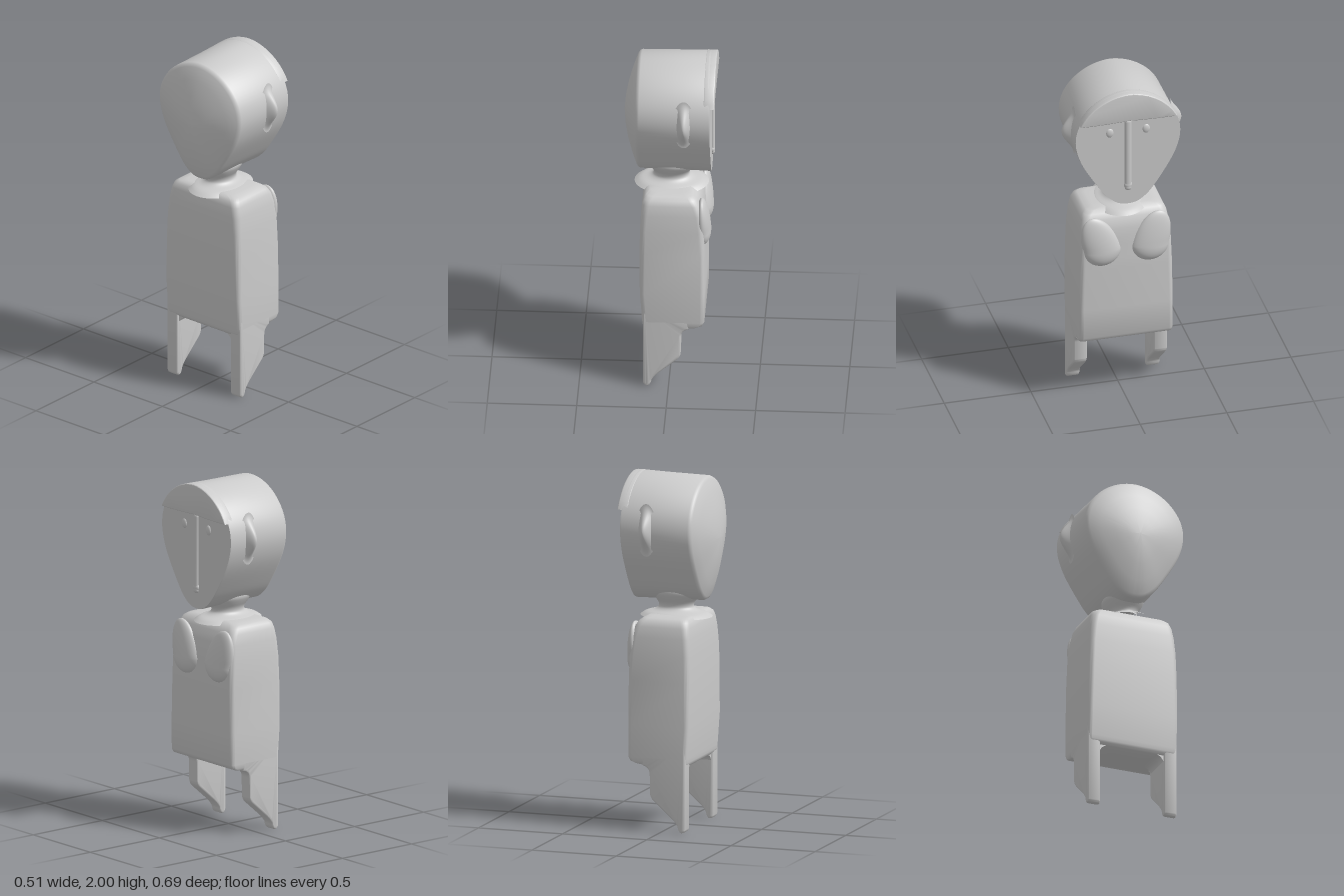
import * as THREE from 'three';
import { toCreasedNormals } from 'three/addons/utils/BufferGeometryUtils.js';

const material = new THREE.MeshStandardMaterial({ color: 0xcccccc });

// Closed skin over rings, each ring counter-clockwise about the loft direction.
function loft(rings, crease = 0.6) {
  const n = rings[0].length, pos = [], index = [];
  for (const ring of rings) for (const p of ring) pos.push(p.x, p.y, p.z);
  for (let i = 0; i < rings.length - 1; i++) {
    for (let j = 0; j < n; j++) {
      const a = i * n + j, b = i * n + (j + 1) % n;
      index.push(a, b, b + n, a, b + n, a + n);
    }
  }
  [0, rings.length - 1].forEach((r, end) => {
    const c = new THREE.Vector3();
    rings[r].forEach(p => c.addScaledVector(p, 1 / n));
    const k = pos.length / 3;
    pos.push(c.x, c.y, c.z);
    for (let j = 0; j < n; j++) {
      const a = r * n + j, b = r * n + (j + 1) % n;
      if (end) index.push(k, a, b); else index.push(k, b, a);
    }
  });
  const g = new THREE.BufferGeometry();
  g.setAttribute('position', new THREE.Float32BufferAttribute(pos, 3));
  g.setIndex(index);
  return toCreasedNormals(g.toNonIndexed(), crease);
}

// Rounded rectangle in the ground plane at height y.
function roundedRing(y, x0, x1, halfZ, r) {
  const ring = [], cx = (x0 + x1) / 2, hx = (x1 - x0) / 2;
  for (let q = 0; q < 4; q++) {
    for (let k = 0; k <= 6; k++) {
      const t = (q + k / 6) * Math.PI / 2;
      const sz = q === 0 || q === 3 ? 1 : -1, sx = q < 2 ? 1 : -1;
      ring.push(new THREE.Vector3(
        cx + sx * (hx - r) + r * Math.sin(t), y, sz * (halfZ - r) + r * Math.cos(t)));
    }
  }
  return ring;
}

export function createModel() {
  const model = new THREE.Group();
  const add = (name, geometry, x = 0, y = 0, z = 0) => {
    const mesh = new THREE.Mesh(geometry, material);
    mesh.name = name;
    mesh.position.set(x, y, z);
    model.add(mesh);
    return mesh;
  };

  // Egg-shaped head outline as (z, y), running along x with a domed back
  const half = [[0, 2], [0.12, 1.973], [0.22, 1.905], [0.285, 1.81], [0.303, 1.71],
    [0.275, 1.59], [0.185, 1.43], [0.115, 1.335], [0.055, 1.29], [0, 1.28]];
  const mirrored = half.slice(1, -1).reverse().map(([z, y]) => [-z, y]);
  const outline = new THREE.CatmullRomCurve3(
    [...half, ...mirrored].map(([z, y]) => new THREE.Vector3(0, y, z)), true)
    .getPoints(96).slice(0, -1);
  const headRows = [[-0.258, 0.03], [-0.251, 0.25], [-0.236, 0.48], [-0.212, 0.72],
    [-0.187, 0.92], [-0.178, 0.96], [-0.165, 0.978], [0.08, 0.988], [0.222, 1], [0.231, 0.995]];
  add('head', loft(headRows.map(([x, s]) => outline.map(
    p => new THREE.Vector3(x, 1.65 + (p.y - 1.65) * s, p.z * s)))));

  // Raised forehead above a gently arched brow line
  const browArc = outline.filter(p => p.y > 1.815).sort((a, b) => b.z - a.z)
    .map(p => new THREE.Vector2(p.z * 0.985, 1.65 + (p.y - 1.65) * 0.985));
  const forehead = new THREE.Shape(browArc);
  forehead.quadraticCurveTo(-0.1, 1.825, 0, 1.833);
  forehead.quadraticCurveTo(0.1, 1.825, browArc[0].x, browArc[0].y);
  const foreheadGeo = new THREE.ExtrudeGeometry(forehead, {
    depth: 0.05, bevelSize: 0.005, bevelThickness: 0.006, bevelSegments: 3, curveSegments: 12 });
  add('forehead', toCreasedNormals(foreheadGeo.rotateY(Math.PI / 2), 0.6), 0.2);

  // Long thin nose, slightly prouder at the tip
  const nose = add('nose', new THREE.CapsuleGeometry(0.02, 0.42, 6, 14), 0.232, 1.6, 0);
  nose.scale.x = 0.7;
  nose.rotation.z = 0.005;
  const noseTip = add('noseTip', new THREE.SphereGeometry(0.024, 16, 12), 0.232, 1.405, 0);
  noseTip.scale.x = 0.65;

  // Ears as flared bumps
  const earProfile = [];
  for (let i = 0; i <= 16; i++) {
    const r = 1 - i / 16;
    earProfile.push(new THREE.Vector2(r, 0.5 + 0.5 * Math.cos(Math.PI * r)));
  }

  // Leg side profile with the slanted foot
  const leg = new THREE.Shape();
  leg.moveTo(-0.13, 0.5);
  leg.lineTo(-0.13, 0.03);
  leg.quadraticCurveTo(-0.128, 0.016, -0.12, 0.016);
  leg.quadraticCurveTo(-0.112, 0.018, -0.107, 0.045);
  leg.quadraticCurveTo(-0.09, 0.075, -0.06, 0.1);
  leg.lineTo(0.035, 0.183);
  leg.quadraticCurveTo(0.055, 0.2, 0.055, 0.22);
  leg.lineTo(0.057, 0.33);
  leg.quadraticCurveTo(0.06, 0.37, 0.1, 0.385);
  leg.lineTo(0.1, 0.5);
  leg.closePath();
  const legGeo = toCreasedNormals(new THREE.ExtrudeGeometry(leg, {
    depth: 0.052, bevelSize: 0.013, bevelThickness: 0.013, bevelSegments: 4, curveSegments: 8 }), 0.7);

  for (const [side, s] of [['left', 1], ['right', -1]]) {
    const ear = add(side + 'Ear', new THREE.LatheGeometry(earProfile, 32), 0.085, 1.715, s * 0.275);
    ear.rotation.x = s * Math.PI / 2;
    ear.scale.set(0.062, 0.07, 0.15);

    const eye = add(side + 'Eye', new THREE.SphereGeometry(0.022, 16, 12), 0.229, 1.752, s * 0.105);
    eye.scale.set(0.5, 1.3, 1);

    add(side + 'Leg', legGeo, 0, 0, s * 0.231 - 0.026);

    // Rounded corner where the leg meets the underside
    const fillet = new THREE.Shape();
    fillet.moveTo(s * 0.2, 0.31);
    fillet.quadraticCurveTo(s * 0.19, 0.373, s * 0.13, 0.375);
    fillet.lineTo(s * 0.2, 0.4);
    fillet.closePath();
    const filletGeo = new THREE.ExtrudeGeometry(fillet, { depth: 0.18, bevelEnabled: false, curveSegments: 8 });
    // Turned so that the shape's width runs along -z
    add(side + 'LegFillet', toCreasedNormals(filletGeo.rotateY(Math.PI / 2), 0.6), -0.13);

    // Breast, fuller below and tapering up to the shoulder
    const breastGeo = new THREE.SphereGeometry(1, 36, 28);
    const p = breastGeo.attributes.position;
    for (let i = 0; i < p.count; i++) {
      const y = p.getY(i), z = p.getZ(i);
      p.setXYZ(i, p.getX(i) * 0.05 * (1 - 0.2 * y),
        y > 0 ? y * 0.2 : y * 0.105, z * 0.11 + s * Math.max(0, y) * 0.05);
    }
    breastGeo.computeVertexNormals();
    add(side + 'Breast', breastGeo, 0.182, 0.98, s * 0.138);
  }

  // Torso: y, back x, front x, half width, corner radius
  const torsoRows = [
    [0.372, -0.13, 0.09, 0.255, 0.02], [0.384, -0.142, 0.155, 0.264, 0.02],
    [0.397, -0.145, 0.188, 0.268, 0.022], [0.42, -0.148, 0.2, 0.27, 0.024],
    [0.6, -0.161, 0.201, 0.271, 0.026], [0.85, -0.163, 0.2, 0.268, 0.03],
    [1.0, -0.161, 0.197, 0.263, 0.032], [1.1, -0.156, 0.188, 0.255, 0.036],
    [1.16, -0.15, 0.172, 0.245, 0.04], [1.19, -0.142, 0.153, 0.232, 0.04],
    [1.205, -0.128, 0.132, 0.21, 0.04], [1.212, -0.11, 0.115, 0.17, 0.05]];
  add('torso', loft(torsoRows.map(r => roundedRing(...r)), 0.9));

  // Neck flaring into shoulders and head
  const neckPoints = [[0.16, 1.19], [0.135, 1.21], [0.1, 1.222], [0.082, 1.235], [0.077, 1.25],
    [0.082, 1.27], [0.097, 1.295], [0.112, 1.325], [0.112, 1.35]].map(p => new THREE.Vector2(...p));
  const neck = add('neck', new THREE.LatheGeometry(
    new THREE.SplineCurve(neckPoints).getPoints(24), 40), 0.005, 0, 0);
  neck.scale.x = 1.3;
  neck.material = material;

  return model;
}
